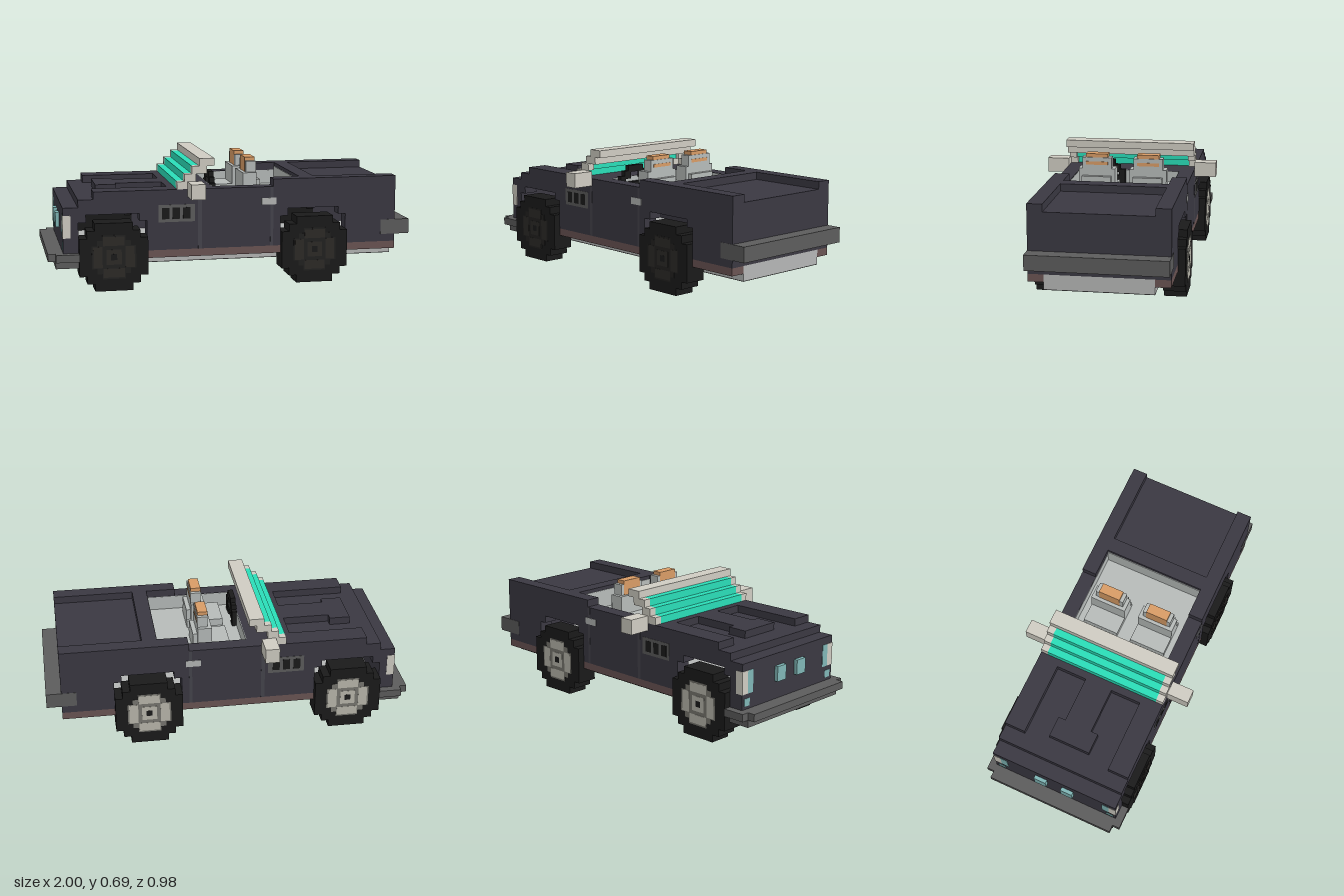
import * as THREE from 'three';

const V = 2 / 49; // one block; x counts from the nose, z from the centre line
const mats = {};
const mat = (c) => (mats[c] ??= new THREE.MeshStandardMaterial({ color: c }));
const BODY = 0x3a3842, GREY = 0x5c5c5c, LIGHT = 0xb4b6b5, SEAT = 0xb6bbb9, BEIGE = 0xcfccc2;
const BLACK = 0x1a1a1a, TEAL = 0x2addb8, BROWN = 0x6a5453, ORANGE = 0xd89c66, LAMP = 0x7fb5b5;

export function createModel() {
  const car = new THREE.Group();
  car.name = 'pickup';

  // Box from min/max corners in block units
  const box = (name, c, x0, x1, y0, y1, z0, z1, parent = car) => {
    const m = new THREE.Mesh(new THREE.BoxGeometry((x1 - x0) * V, (y1 - y0) * V, (z1 - z0) * V), mat(c));
    m.position.set(((x0 + x1) / 2 - 24.5) * V, ((y0 + y1) / 2) * V, ((z0 + z1) / 2) * V);
    m.name = name;
    parent.add(m);
    return m;
  };
  const both = (name, c, x0, x1, y0, y1, z0, z1) => {
    box(name, c, x0, x1, y0, y1, z0, z1);
    box(name, c, x0, x1, y0, y1, -z1, -z0);
  };
  // Extruded side profile between z0 and z1
  const extrude = (name, c, pts, z0, z1, hole, parent = car) => {
    const toV = (a) => a.map(([x, y]) => new THREE.Vector2((x - 24.5) * V, y * V));
    const s = new THREE.Shape(toV(pts));
    if (hole) s.holes.push(new THREE.Path(toV(hole)));
    const m = new THREE.Mesh(new THREE.ExtrudeGeometry(s, { depth: (z1 - z0) * V, bevelEnabled: false }), mat(c));
    m.position.z = z0 * V;
    m.name = name;
    parent.add(m);
  };
  // Stepped disc outline: quarter corners mirrored round the centre
  const disc = (cx, cy, q) => {
    const r = [...q].reverse();
    return [
      ...q.map(([x, y]) => [cx + x, cy + y]), ...r.map(([x, y]) => [cx - x, cy + y]),
      ...q.map(([x, y]) => [cx - x, cy - y]), ...r.map(([x, y]) => [cx + x, cy - y]),
    ];
  };

  // Side panels with stepped wheel arches
  const arch = (x) => [[x + 9, 5], [x + 9, 9], [x + 8, 9], [x + 8, 10], [x + 1, 10], [x + 1, 9], [x, 9], [x, 5]];
  const side = [[2, 5], [2, 11], [4, 11], [4, 12], [6, 12], [6, 13], [30, 13], [30, 14], [47, 14], [47, 5],
    ...arch(31), ...arch(4)];
  extrude('leftSide', BODY, side, 7, 9);
  extrude('rightSide', BODY, side, -9, -7);

  // Nose, bonnet with recess and T-shaped scoop
  box('nose', BODY, 2, 4, 5, 11, -7, 7);
  box('bonnetFloor', BODY, 4, 17, 10, 12, -7, 7);
  both('bonnetEdge', BODY, 6, 16, 12, 13, 6.1, 7);
  box('cowl', BODY, 16, 22, 10, 13, -7, 7);
  box('scoopSpine', BODY, 9.7, 16, 12, 13, -1.9, 1.9);
  box('scoopHead', BODY, 6.9, 9.7, 12, 13, -2.9, 2.9);

  // Cabin tub, bulkhead and covered load bed
  box('cabinFloor', SEAT, 22, 34, 10, 11, -7, 7);
  box('dashboard', SEAT, 22, 22.1, 11, 13, -7, 7);
  both('cabinLining', SEAT, 22, 34, 11, 12.95, 6.95, 7.02);
  box('bulkhead', BODY, 34, 36, 10, 14, -7, 7);
  box('bulkheadLining', SEAT, 33.9, 34, 11, 13.5, -7, 7);
  box('bedCover', BODY, 36, 47, 12, 13, -7, 7);
  box('tailgate', BODY, 46, 47, 5, 12, -7, 7);

  // Chassis, sills and bumpers
  box('chassis', LIGHT, 4, 47, 3.1, 5, -7, 7);
  box('underside', 0x505050, 3, 47, 3, 3.1, -7, 7);
  for (const [a, b] of [[13, 31], [40, 47]]) both('sill', BROWN, a, b, 4, 5, 7, 9);
  box('frontBumper', GREY, 0, 4, 4, 5, -9, 9);
  box('frontSkirt', GREY, 1, 4, 3, 4, -9, 9);
  both('bumperCorner', GREY, 1, 4, 4, 5, 9, 10);
  box('rearBumper', GREY, 47, 49, 6, 8, -9.04, 9.04);
  both('rearBumperEnd', GREY, 45, 47, 6, 8, 8.5, 9.04);

  // Lamps
  both('headlight', LAMP, 1.5, 2, 7.4, 9.4, 1.1, 2.8);
  both('cornerMarker', BEIGE, 1.95, 3, 7, 10, 8, 9.04);
  both('cornerLamp', LAMP, 1.95, 2.1, 7, 10, 7, 8);
  both('fogLamp', LAMP, 1.95, 2.1, 5.4, 6.4, 7.6, 8.6);

  // Fender vents, door seams and handles
  both('ventPanel', GREY, 14.5, 19.4, 8.7, 11, 8.9, 9.04);
  for (const x of [15, 16.4, 17.8]) both('ventSlot', BLACK, x, x + 0.95, 9.1, 10.6, 8.9, 9.06);
  both('doorSeam', 0x45444c, 19.8, 20.3, 5, 13, 8.9, 9.02);
  both('doorSeam', 0x45444c, 29.6, 30, 5, 13, 8.9, 9.02);
  both('doorHandle', LIGHT, 28.4, 30.4, 10.6, 11.5, 8.9, 9.06);

  // Stepped windscreen with beige frame
  for (let i = 0; i < 3; i++) {
    box('windscreen', TEAL, 17 + i, 18 + i, 13 + i, 14 + i, -8, 8);
    both('windscreenPillar', BEIGE, 17 + i, 18.5 + i, 13 + i, 14 + i, 8, 9);
  }
  box('upperFrame', BEIGE, 20, 21, 15, 16, -9, 9);
  box('topFrame', BEIGE, 20, 22, 16, 17, -9, 9);
  both('mirror', BEIGE, 18.4, 20.3, 12, 14, 9, 12);

  // Seats with orange headrests
  for (const z of [-3.5, 3.5]) {
    const seat = new THREE.Group();
    seat.name = 'seat';
    car.add(seat);
    box('cushion', SEAT, 24, 29, 11, 12, z - 2.5, z + 2.5, seat);
    box('backrest', SEAT, 26.5, 28.4, 12, 14.5, z - 2.5, z + 2.5, seat);
    box('backrestTop', SEAT, 27, 28.4, 14.5, 16, z - 2, z + 2, seat);
    box('backrestFoot', SEAT, 28.4, 29, 12, 13.5, z - 2, z + 2, seat);
    box('headrest', ORANGE, 26.95, 28.3, 14.5, 16.5, z - 1.5, z + 1.5, seat);
    box('headrestStripe', ORANGE, 28.3, 28.45, 15, 15.45, z - 1.5, z + 1.5, seat);
  }

  // Steering wheel: stepped ring turned to face the seat
  const wheel = new THREE.Group();
  wheel.name = 'steeringWheel';
  extrude('rim', BLACK, disc(24.5, 0, [[2.7, 1.3], [2, 1.3], [2, 2], [1.3, 2], [1.3, 2.7]]), -0.35, 0.35,
    disc(24.5, 0, [[1.8, 0.9], [0.9, 0.9], [0.9, 1.8]]), wheel);
  box('spoke', BLACK, 22.5, 26.5, -0.4, 0.4, -0.3, 0.3, wheel);
  box('column', BLACK, 24.1, 24.9, -0.4, 0.4, -1, 0, wheel);
  wheel.rotation.y = Math.PI / 2;
  wheel.position.set((22 - 24.5 + 0.4) * V, 11.9 * V, 3.2 * V);
  car.add(wheel);

  // Wheels: stepped tyre, layered hub plates on the outer face
  const tyre = [[4.5, 2.5], [3.5, 2.5], [3.5, 3.5], [2.5, 3.5], [2.5, 4.5]];
  const hub = [[2.9, 1.5], [2.2, 1.5], [2.2, 2.2], [1.5, 2.2], [1.5, 2.9]];
  for (const cx of [8.5, 35.5]) for (const s of [1, -1]) {
    const g = new THREE.Group();
    g.name = 'wheel';
    car.add(g);
    const span = (a, b) => (s > 0 ? [a, b] : [-b, -a]);
    const pale = s > 0 ? 0x2c2a27 : 0xb9b7ac, dark = s > 0 ? 0x222120 : 0x77766f;
    extrude('tyre', BLACK, disc(cx, 4.5, tyre), ...span(7, 9.95), null, g);
    extrude('hub', dark, disc(cx, 4.5, hub), ...span(9.9, 9.98), null, g);
    for (const d of [-1, 1]) {
      box('hubPlate', pale, cx - 1.4, cx + 1.4, 4.5 + d * 2.1 - 0.6, 4.5 + d * 2.1 + 0.6, ...span(9.9, 10), g);
      box('hubPlate', pale, cx + d * 2.1 - 0.6, cx + d * 2.1 + 0.6, 3.1, 5.9, ...span(9.9, 10), g);
    }
    box('hubCentre', pale, cx - 1, cx + 1, 3.5, 5.5, ...span(9.9, 10.01), g);
    box('axleCap', BLACK, cx - 0.4, cx + 0.4, 4.1, 4.9, ...span(9.9, 10.03), g);
  }
  return car;
}
